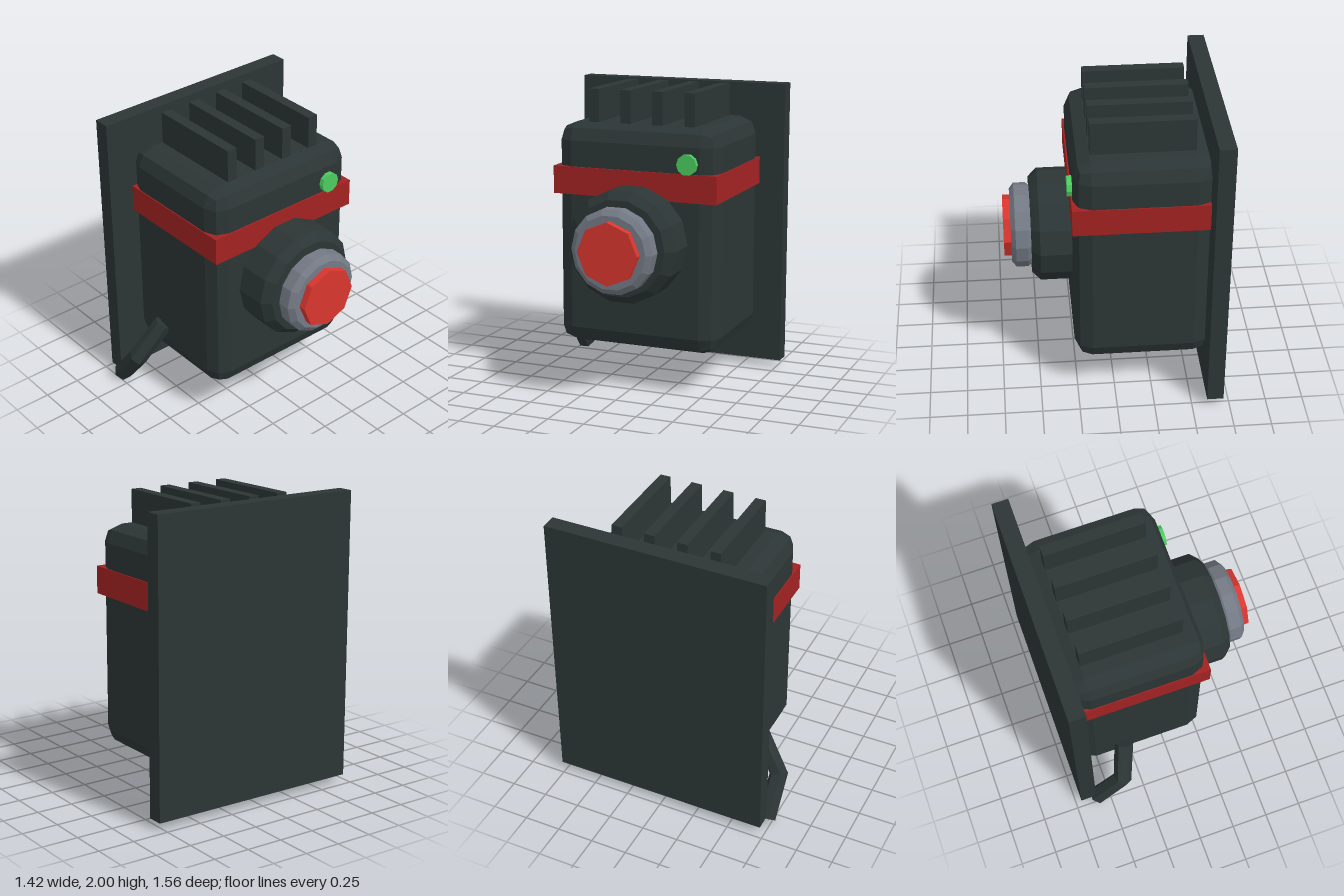
import * as THREE from 'three';
import { RoundedBoxGeometry } from 'three/addons/geometries/RoundedBoxGeometry.js';

const material = (name, color) => {
  const m = new THREE.MeshStandardMaterial({ color, flatShading: true });
  m.name = name;
  return m;
};

// Hexagonal tube swept along points, mitred at the bends and capped at both ends
function sweep(points, radius, sides = 6) {
  const pos = [], index = [];
  const last = points.length - 1;
  points.forEach((p, i) => {
    const t = new THREE.Vector3();
    if (i > 0) t.add(p.clone().sub(points[i - 1]).normalize());
    if (i < last) t.add(points[i + 1].clone().sub(p).normalize());
    t.normalize();
    const u = new THREE.Vector3(0, 0, 1).addScaledVector(t, -t.z).normalize();
    const v = t.clone().cross(u);
    for (let s = 0; s < sides; s++) {
      const a = (s / sides) * Math.PI * 2;
      const q = p.clone().addScaledVector(u, radius * Math.cos(a)).addScaledVector(v, radius * Math.sin(a));
      pos.push(q.x, q.y, q.z);
    }
  });
  for (let i = 0; i < last; i++) {
    for (let s = 0; s < sides; s++) {
      const a = i * sides + s, b = i * sides + ((s + 1) % sides);
      index.push(a, b, b + sides, a, b + sides, a + sides);
    }
  }
  const end = last * sides;
  for (let s = 1; s < sides - 1; s++) index.push(0, s + 1, s, end, end + s, end + s + 1);
  const g = new THREE.BufferGeometry();
  g.setAttribute('position', new THREE.Float32BufferAttribute(pos, 3));
  g.setIndex(index);
  g.computeVertexNormals();
  return g;
}

export function createModel() {
  const group = new THREE.Group();
  const dark = material('dark casing', 0x2c3535);
  const bandRed = material('band red', 0xa32222);
  const buttonRed = material('button red', 0xd9362f);
  const steel = material('steel grey', 0x747a85);
  const green = material('indicator green', 0x4ccc60);

  const add = (name, geometry, mat, x = 0, y = 0, z = 0) => {
    const mesh = new THREE.Mesh(geometry, mat);
    mesh.name = name;
    mesh.position.set(x, y, z);
    group.add(mesh);
    return mesh;
  };
  // Box given by its limits on each axis
  const box = (name, mat, [x0, x1], [y0, y1], [z0, z1]) =>
    add(name, new THREE.BoxGeometry(x1 - x0, y1 - y0, z1 - z0), mat, (x0 + x1) / 2, (y0 + y1) / 2, (z0 + z1) / 2);
  // Turned part along +x; profile holds [radius, x] pairs
  const turned = (name, mat, profile, sides, y, z) => {
    const pts = profile.map(([r, x]) => new THREE.Vector2(r, x));
    add(name, new THREE.LatheGeometry(pts, sides), mat, 0, y, z).rotation.z = -Math.PI / 2;
  };

  // Wall plate and bevelled housing
  box('wallPlate', dark, [-0.71, -0.6], [0.05, 2], [-0.78, 0.72]);
  add('housing', new RoundedBoxGeometry(0.9, 1.5, 1.135, 1, 0.115), dark, -0.185, 1.03, -0.032);
  box('band', bandRed, [-0.64, 0.275], [1.308, 1.493], [-0.606, 0.542]);

  // Cooling fins on top
  for (let i = 0; i < 4; i++) {
    const z = -0.373 + i * 0.225;
    box('coolingFin', dark, [-0.52, 0.15], [1.7, 2], [z - 0.036, z + 0.036]);
  }

  // Push button: base, collar and cap
  const y = 1.027, z = -0.032;
  turned('buttonBase', dark, [[0, 0.2], [0.376, 0.22], [0.376, 0.472], [0.322, 0.527], [0, 0.527]], 14, y, z);
  turned('buttonCollar', steel,
    [[0, 0.5], [0.25, 0.515], [0.282, 0.548], [0.282, 0.628], [0.244, 0.658], [0, 0.658]], 14, y, z);
  turned('buttonCap', buttonRed, [[0, 0.6], [0.207, 0.6], [0.207, 0.706], [0, 0.706]], 8, y, z);

  // Indicator lamp
  turned('indicatorLamp', green, [[0, 0.2], [0.069, 0.2], [0.069, 0.297], [0, 0.297]], 10, 1.557, -0.407);

  // Bent cable at the lower side
  add('cable', sweep([
    new THREE.Vector3(-0.32, 0.525, 0.54),
    new THREE.Vector3(-0.395, 0.275, 0.715),
    new THREE.Vector3(-0.59, 0.035, 0.715),
  ], 0.065), dark);

  return group;
}
